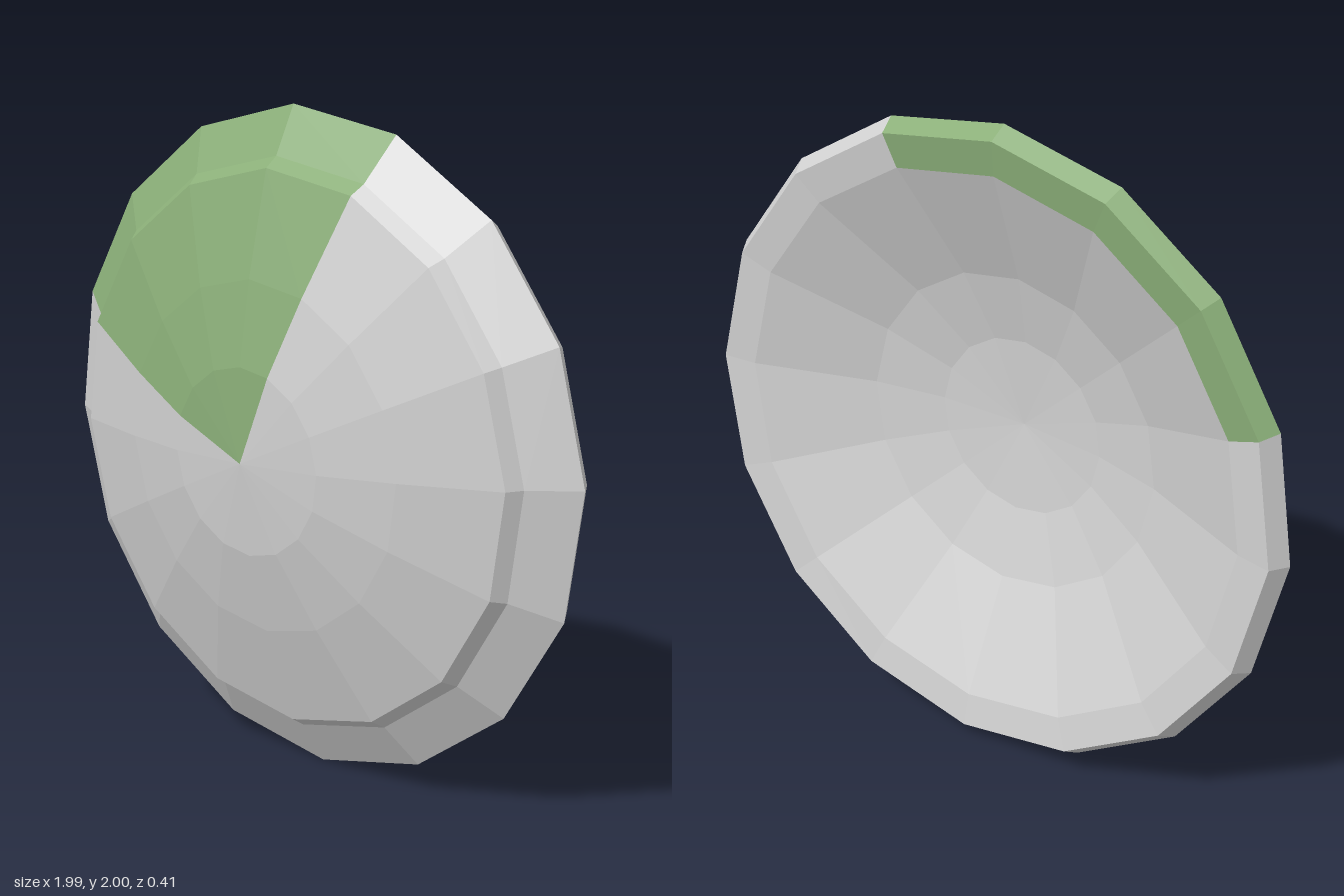
import * as THREE from 'three';

const grey = new THREE.MeshStandardMaterial({ color: 0xd0d0d0 });
grey.name = 'light grey';
const green = new THREE.MeshStandardMaterial({ color: 0x8aae78 });
green.name = 'muted green';

const SIDES = 16;
const STEP = (Math.PI * 2) / SIDES;
const START = THREE.MathUtils.degToRad(159.8); // first edge of the green wedge

// Profiles as [radius, height along the dish axis]
const bowl = [[0, 0.183], [0.28, 0.163], [0.5, 0.11], [0.86, -0.04]];
const shell = [
  [0.86, -0.04], [0.965, -0.057], [1, 0], // back lip and rim
  [0.86, 0.082], [0.83, 0.125], // stepped border
  [0.525, 0.217], [0.28, 0.273], [0, 0.293], // dome
];

// Faceted slice of a lathe, turned so that its axis points to +z
function slice(name, profile, first, count, material) {
  const points = profile.map(([r, h]) => new THREE.Vector2(r, h));
  const lathe = new THREE.LatheGeometry(points, count, START + first * STEP, count * STEP);
  const geometry = lathe.toNonIndexed().rotateX(Math.PI / 2);
  geometry.computeVertexNormals();
  const mesh = new THREE.Mesh(geometry, material);
  mesh.name = name;
  return mesh;
}

export function createModel() {
  const dish = new THREE.Group();
  dish.name = 'dish';
  dish.add(
    slice('greenWedge', shell, 0, 4, green),
    slice('greyShell', shell, 4, 12, grey),
    slice('hollowBack', bowl, 0, SIDES, grey),
  );

  // Slight lean of the whole dish
  const facing = new THREE.Vector3(-0.06, -0.025, 1).normalize();
  dish.quaternion.setFromUnitVectors(new THREE.Vector3(0, 0, 1), facing);
  dish.position.set(0, 1, -0.09);

  const model = new THREE.Group();
  model.name = 'roundShield';
  model.add(dish);
  return model;
}
